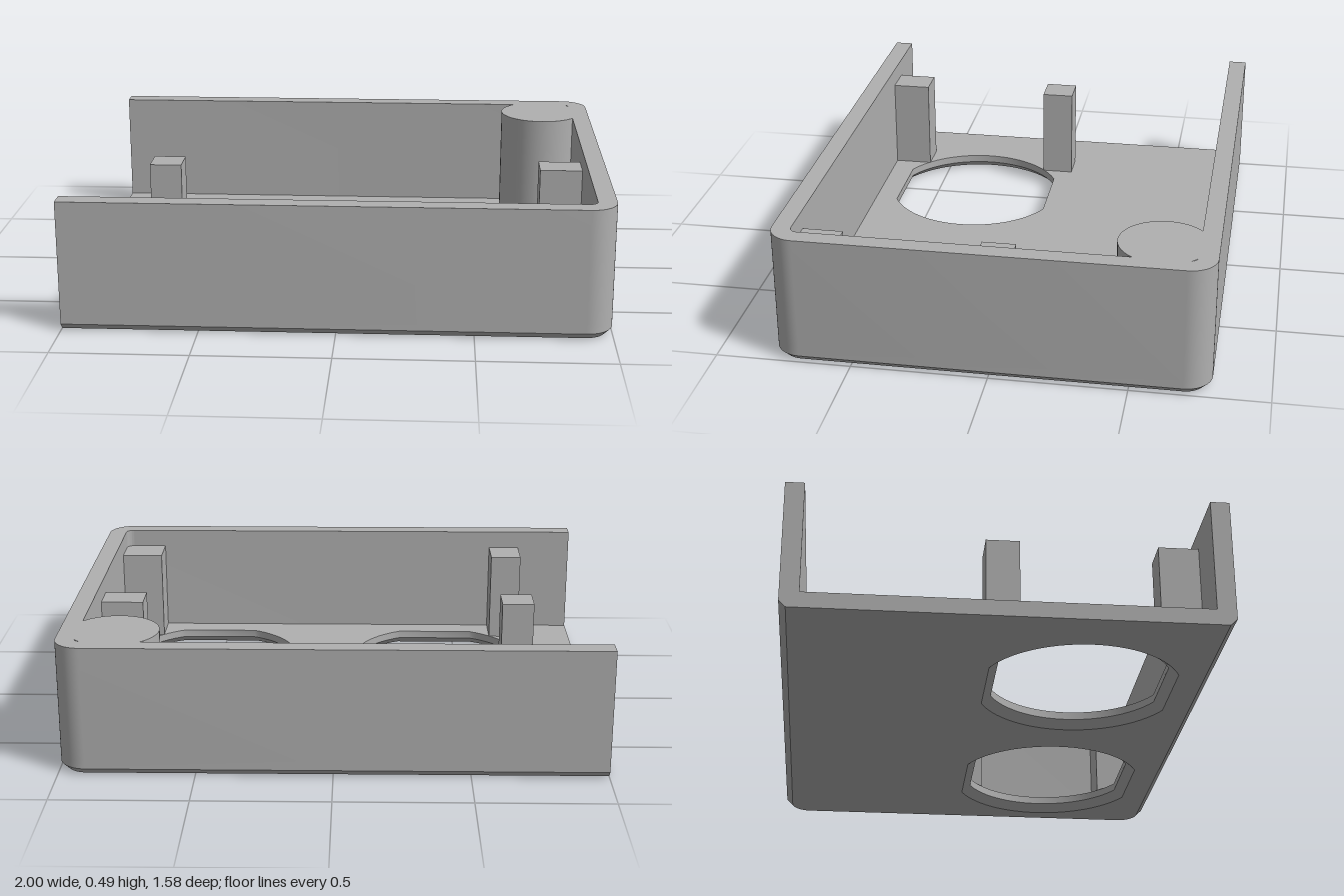
import * as THREE from 'three';
import { toCreasedNormals } from 'three/addons/utils/BufferGeometryUtils.js';

const H = 0.49, FLOOR = 0.06, WALL = 0.07, BEVEL = 0.025, HALF = 0.79;

// Points along an arc, in plan (x, -z)
function arc(cx, cy, r, a0, a1, n = 14) {
  return Array.from({ length: n + 1 }, (_, i) => {
    const a = a0 + (a1 - a0) * i / n;
    return new THREE.Vector2(cx + r * Math.cos(a), cy + r * Math.sin(a));
  });
}

// Plan of the tray: square at the open end, rounded at the closed end
function outline(inset) {
  const r = 0.1 - inset, x = 1 - inset - r, y = HALF - inset - r;
  return [
    new THREE.Vector2(-1, -HALF + inset),
    ...arc(x, -y, r, -Math.PI / 2, 0),
    ...arc(x, y, r, 0, Math.PI / 2),
    new THREE.Vector2(-1, HALF - inset),
  ];
}

// Round opening with flattened front and back
function opening(cx, grow) {
  const r = 0.35 + grow, a = Math.asin((0.315 + grow) / r), cy = -0.315;
  return [...arc(cx, cy, r, -a, a, 28), ...arc(cx, cy, r, Math.PI - a, Math.PI + a, 28)];
}

// Strip of faces between two matching loops
function loft(lower, y0, upper, y1, inward = false) {
  const pos = [], n = lower.length;
  for (let i = 0; i < n; i++) {
    const j = (i + 1) % n;
    const a = [lower[i].x, y0, -lower[i].y], b = [lower[j].x, y0, -lower[j].y];
    const c = [upper[j].x, y1, -upper[j].y], d = [upper[i].x, y1, -upper[i].y];
    pos.push(...(inward ? [a, c, b, a, d, c] : [a, b, c, a, c, d]).flat());
  }
  const g = new THREE.BufferGeometry();
  g.setAttribute('position', new THREE.Float32BufferAttribute(pos, 3));
  return toCreasedNormals(g, 0.5);
}

// Flat face with openings
function cap(loop, holes, y, down = false) {
  const s = new THREE.Shape(loop);
  s.holes = holes.map((h) => new THREE.Path(h));
  const g = new THREE.ShapeGeometry(s).rotateX(-Math.PI / 2).translate(0, y, 0);
  if (down) {
    g.setIndex(Array.from(g.index.array).reverse());
    g.computeVertexNormals();
  }
  return g;
}

export function createModel() {
  const model = new THREE.Group();
  model.name = 'openTray';
  const grey = new THREE.MeshStandardMaterial({ color: 0xb0b0b0 });
  grey.name = 'plainGrey';
  const add = (name, geometry) => {
    const m = new THREE.Mesh(geometry, grey);
    m.name = name;
    model.add(m);
    return m;
  };

  // Floor slab with bevelled lower edge
  const centres = [-0.42, 0.525], flare = 0.035;
  const outer = outline(0);
  add('floorUnderside', cap(outline(BEVEL), centres.map((c) => opening(c, flare)), 0, true));
  add('floorTop', cap(outer, centres.map((c) => opening(c, 0)), FLOOR));
  add('bottomBevel', loft(outline(BEVEL), 0, outer, BEVEL));
  add('floorEdge', loft(outer, BEVEL, outer, FLOOR));

  // Openings flared towards the underside
  centres.forEach((c) => {
    const rim = opening(c, 0);
    add('openingFlare', loft(opening(c, flare), 0, rim, 0.03, true));
    add('openingRim', loft(rim, 0.03, rim, FLOOR, true));
  });

  // Three-sided wall
  const wallShape = new THREE.Shape([...outer, ...outline(WALL).reverse()]);
  const wall = new THREE.ExtrudeGeometry(wallShape, { depth: H - FLOOR, bevelEnabled: false });
  wall.rotateX(-Math.PI / 2).translate(0, FLOOR, 0);
  add('wall', toCreasedNormals(wall, 0.5));

  // Corner boss, flush with the rim
  const boss = new THREE.CylinderGeometry(0.165, 0.165, H - FLOOR, 48);
  add('cornerBoss', boss).position.set(0.8, (H + FLOOR) / 2, -0.595);

  // Support posts
  const top = 0.42;
  for (const [x0, x1] of [[-0.78, -0.655], [0.765, 0.94]]) {
    for (const [z0, z1] of [[-0.065, 0.06], [0.57, 0.73]]) {
      const post = add('supportPost', new THREE.BoxGeometry(x1 - x0, top - FLOOR, z1 - z0));
      post.position.set((x0 + x1) / 2, (top + FLOOR) / 2, (z0 + z1) / 2);
    }
  }
  return model;
}
